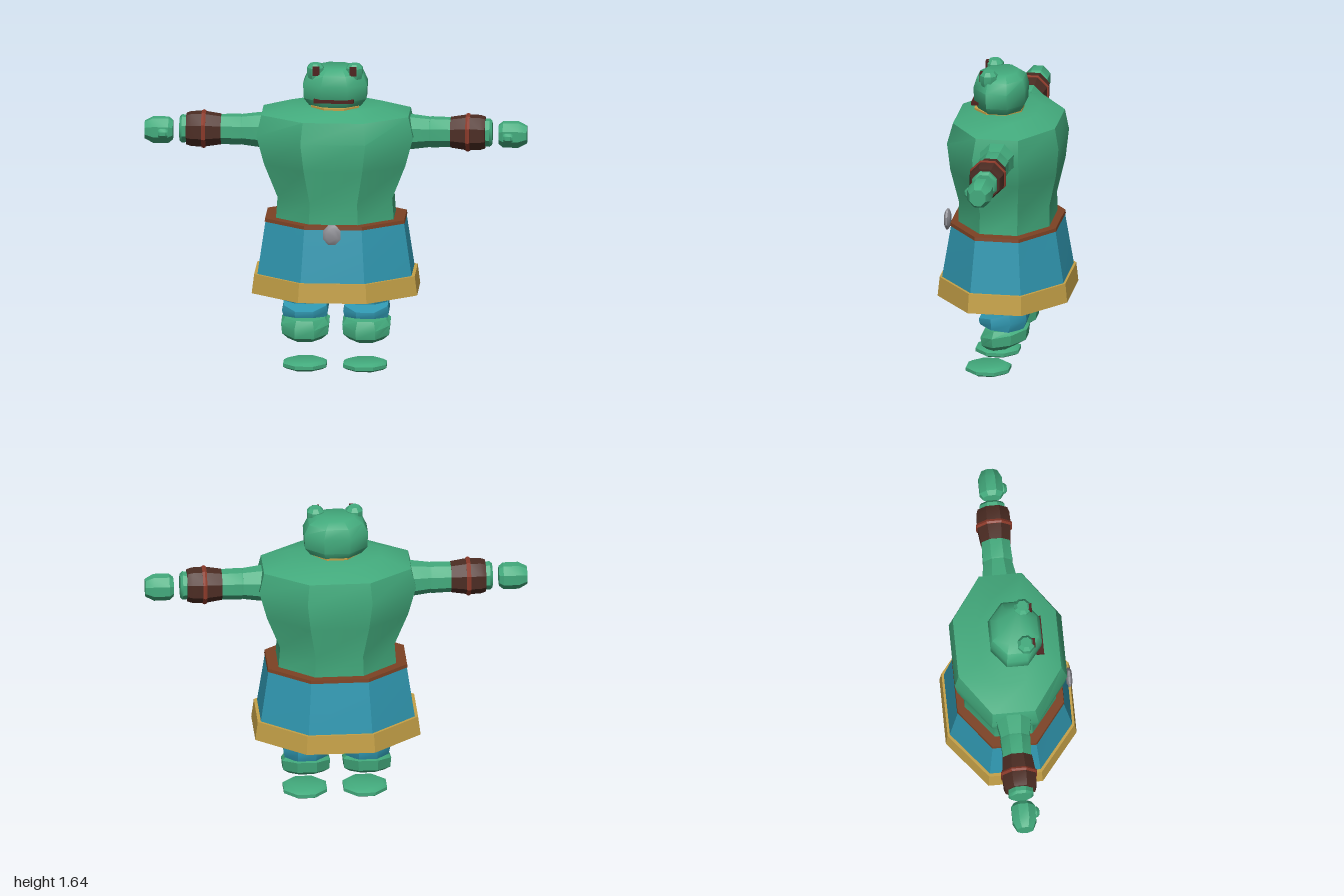
import * as THREE from 'three';
import { toCreasedNormals } from 'three/addons/utils/BufferGeometryUtils.js';

const mat = (name, color) => {
  const m = new THREE.MeshStandardMaterial({ color });
  m.name = name;
  return m;
};

// Closed octagonal loft along y; ring: [y, half width x, half depth z, centre z, tilt along z]
function loft(rings, crease = 0.6) {
  const n = 8, k = 1 / Math.cos(Math.PI / n), pos = [], idx = [];
  for (const [y, hx, hz, cz = 0, tilt = 0] of rings) {
    for (let i = 0; i < n; i++) {
      const a = ((i + 0.5) / n) * Math.PI * 2;
      const z = cz + hz * k * Math.sin(a);
      pos.push(hx * k * Math.cos(a), y + z * tilt, z);
    }
  }
  const last = rings.length - 1;
  for (let j = 0; j < last; j++) {
    for (let i = 0; i < n; i++) {
      const a = j * n + i, b = j * n + ((i + 1) % n), c = a + n, d = b + n;
      idx.push(a, c, b, b, c, d);
    }
  }
  for (let i = 1; i < n - 1; i++) {
    idx.push(0, i, i + 1, last * n, last * n + i + 1, last * n + i);
  }
  const g = new THREE.BufferGeometry();
  g.setAttribute('position', new THREE.Float32BufferAttribute(pos, 3));
  g.setIndex(idx);
  return toCreasedNormals(g, crease);
}

export function createModel() {
  const green = mat('skin green', 0x43ab7d);
  const blue = mat('skirt blue', 0x3097b0);
  const gold = mat('trim gold', 0xc4a047);
  const brown = mat('bracer brown', 0x4c2c23);
  const red = mat('band red', 0x8c3a2a);
  const rust = mat('belt rust', 0x7c4224);
  const grey = mat('buckle grey', 0x8e8e94);
  const dark = mat('face dark red', 0x4e211d);

  const model = new THREE.Group();
  const add = (name, geo, material, parent = model, x = 0, y = 0, z = 0) => {
    const m = new THREE.Mesh(geo, material);
    m.name = name;
    m.position.set(x, y, z);
    parent.add(m);
    return m;
  };

  // Body and clothing
  add('torso', loft([
    [0.78, 0.31, 0.24], [0.92, 0.3, 0.24], [1.1, 0.37, 0.28],
    [1.25, 0.41, 0.295], [1.36, 0.385, 0.27, -0.005], [1.405, 0.24, 0.165, 0.005],
  ]), green);
  add('skirt', loft([[0.408, 0.418, 0.333], [0.52, 0.402, 0.32], [0.795, 0.362, 0.276]]), blue);
  add('hem', loft([[0.41, 0.433, 0.343], [0.512, 0.42, 0.333]]), gold);
  add('belt', loft([[0.79, 0.367, 0.281], [0.808, 0.364, 0.279]]), rust);

  // Buckle, a lens facing forward
  const buckleGeo = loft([[-0.015, 0.03, 0.036], [-0.005, 0.046, 0.052], [0.005, 0.046, 0.052], [0.015, 0.03, 0.036]]);
  buckleGeo.rotateX(Math.PI / 2);
  add('buckle', buckleGeo, grey, model, -0.003, 0.773, 0.32);

  // Head
  const head = new THREE.Group();
  head.name = 'head';
  model.add(head);
  add('collar', loft([[1.4, 0.125, 0.125, 0.045], [1.415, 0.125, 0.125, 0.045]]), gold, head);
  add('skull', loft([
    [1.412, 0.135, 0.11, 0.035], [1.45, 0.163, 0.132, 0.035], [1.53, 0.167, 0.136, 0.036],
    [1.585, 0.142, 0.122, 0.034], [1.614, 0.095, 0.08, 0.03],
  ], 0.82), green, head);
  add('mouth', new THREE.BoxGeometry(0.21, 0.016, 0.04), dark, head, -0.003, 1.453, 0.16);
  for (const s of [-1, 1]) {
    add('eyeBump', loft([
      [1.56, 0.036, 0.036], [1.585, 0.043, 0.043], [1.618, 0.043, 0.043], [1.638, 0.027, 0.027],
    ]), green, head, s * 0.102, 0, 0.085);
    add('pupil', new THREE.BoxGeometry(0.036, 0.048, 0.018), dark, head, s * 0.097, 1.605, 0.124);
  }

  // Arms, built along y and turned outwards
  for (const s of [-1, 1]) {
    const arm = new THREE.Group();
    arm.name = s > 0 ? 'leftArm' : 'rightArm';
    arm.position.set(0, 1.255, -0.008);
    arm.rotation.z = -s * Math.PI / 2;
    model.add(arm);
    add('upperArm', loft([[0.3, 0.09, 0.09], [0.4, 0.085, 0.09], [0.49, 0.075, 0.074]]), green, arm);
    add('forearm', loft([[0.48, 0.07, 0.07], [0.5, 0.076, 0.078], [0.61, 0.073, 0.073]]), green, arm);
    add('bracer', loft([[0.6, 0.075, 0.077], [0.69, 0.088, 0.088], [0.755, 0.086, 0.086], [0.782, 0.078, 0.078]]), brown, arm);
    add('bracerBand', loft([[0.68, 0.09, 0.09], [0.69, 0.095, 0.095], [0.702, 0.091, 0.091]]), red, arm);
    add('wrist', loft([[0.77, 0.066, 0.064], [0.805, 0.07, 0.065], [0.818, 0.058, 0.055]]), green, arm);
    add('hand', loft([[0.852, 0.048, 0.046], [0.875, 0.065, 0.062], [0.955, 0.066, 0.062], [1.0, 0.044, 0.042]]), green, arm, 0.007 * s, 0, 0.004);
    const thumb = loft([[-0.025, 0.018, 0.015], [-0.012, 0.025, 0.024], [0.012, 0.025, 0.024], [0.025, 0.018, 0.015]]);
    add('thumb', thumb, green, arm, 0.012 * s, 0.903, 0.063);
  }

  // Legs
  for (const s of [-1, 1]) {
    const leg = new THREE.Group();
    leg.name = s > 0 ? 'leftLeg' : 'rightLeg';
    leg.position.x = s * 0.16;
    model.add(leg);
    add('thigh', loft([[0.353, 0.113, 0.12, 0.005], [0.43, 0.119, 0.125, 0.012], [0.5, 0.119, 0.125, 0.012]]), blue, leg);
    add('shin', loft([
      [0.262, 0.112, 0.112, 0, 0.1], [0.3, 0.12, 0.126, -0.008, -0.08], [0.34, 0.113, 0.12, -0.002, -0.28],
    ]), blue, leg);
    add('foot', loft([
      [0.152, 0.088, 0.075, 0.005, -0.2], [0.178, 0.12, 0.116, -0.012, -0.2],
      [0.23, 0.125, 0.123, -0.012, -0.24], [0.257, 0.105, 0.098, -0.008, -0.08],
    ]), green, leg);
    add('sole', loft([
      [0, 0.092, 0.092, 0.077], [0.012, 0.113, 0.113, 0.077],
      [0.03, 0.113, 0.113, 0.077], [0.042, 0.092, 0.092, 0.077],
    ]), green, leg, -s * 0.003);
  }
  return model;
}
